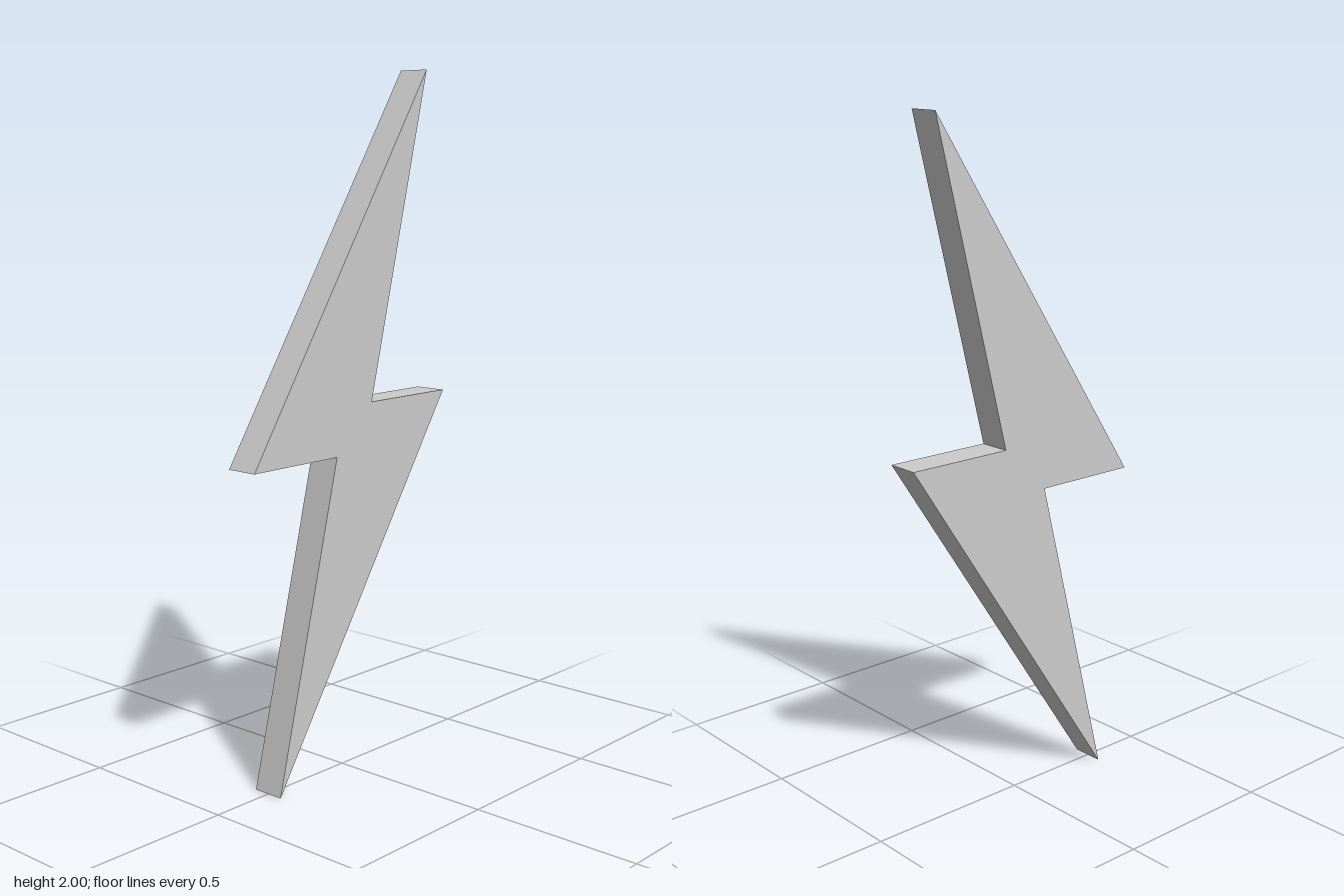
import * as THREE from 'three';

export function createModel() {
  const group = new THREE.Group();
  group.name = 'lightningBolt';

  // Half of the zigzag outline; the other half is its 180 degree rotation
  const half = [[0.307, 2], [-0.397, 0.93], [-0.073, 0.93]];
  const outline = [...half, ...half.map(([x, y]) => [-x, 2 - y])];
  const shape = new THREE.Shape(outline.map(([x, y]) => new THREE.Vector2(x, y)));

  // Flat slab with sharp edges
  const depth = 0.096;
  const geometry = new THREE.ExtrudeGeometry(shape, { depth, bevelEnabled: false });
  geometry.translate(0, 0, -depth / 2);

  const bolt = new THREE.Mesh(
    geometry,
    new THREE.MeshStandardMaterial({ color: 0xcccccc, flatShading: true })
  );
  bolt.name = 'bolt';
  group.add(bolt);
  return group;
}
